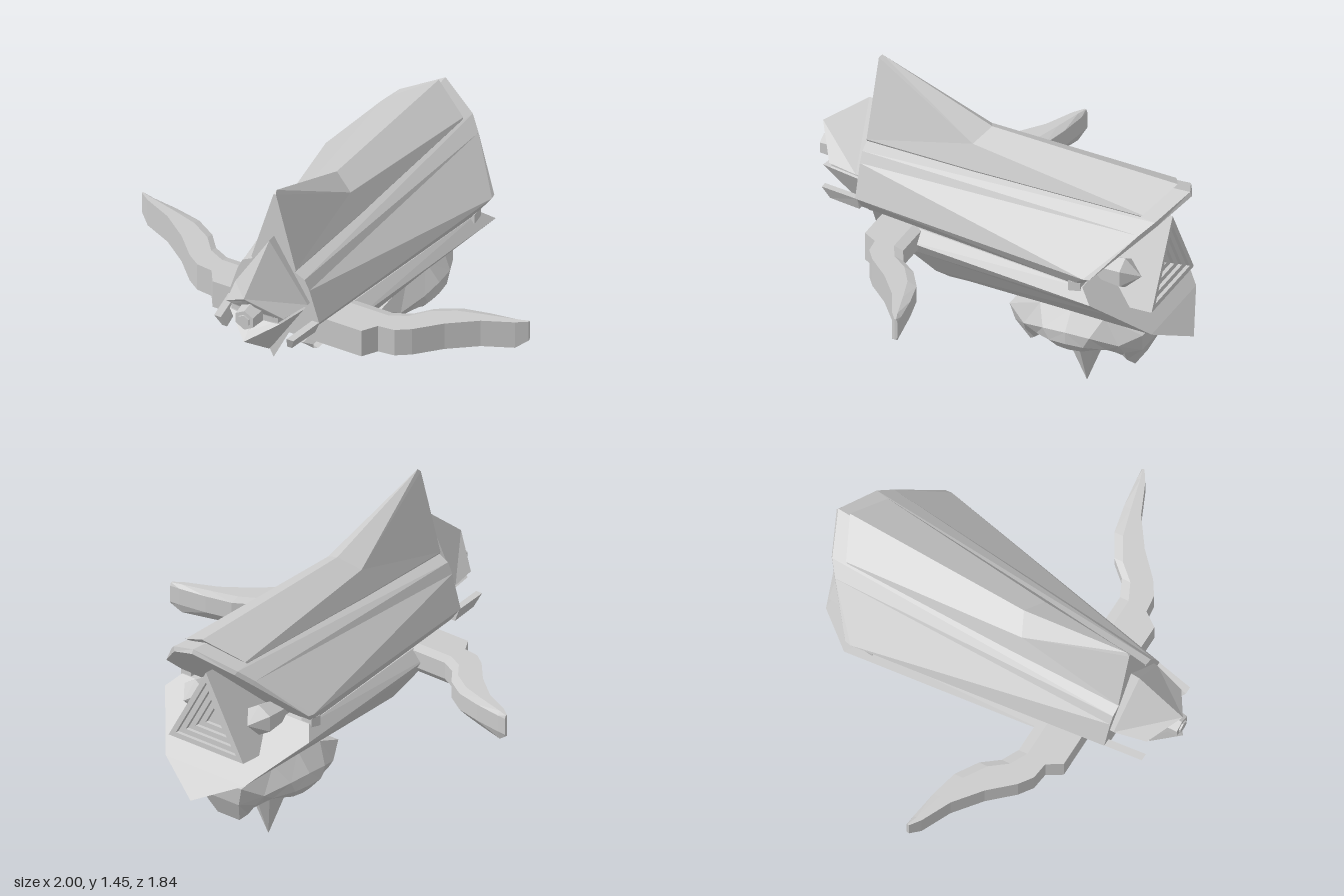
import * as THREE from 'three';

const material = new THREE.MeshStandardMaterial({ color: 0xcccccc, flatShading: true });

function addMesh(parent, name, geometry) {
  const mesh = new THREE.Mesh(geometry, material);
  mesh.name = name;
  parent.add(mesh);
  return mesh;
}

const distance = (a, b) => Math.hypot(a[0] - b[0], a[1] - b[1], a[2] - b[2]);

// Joins closed rings of [x, y, z] points, caps both ends, and turns faces outwards.
function loft(rings) {
  const n = rings[0].length;
  const tris = [];
  const cap = (r, flip) => {
    for (let i = 0; i < Math.floor((n - 1) / 2); i++) {
      const [a, b, c, d] = [r[i], r[i + 1], r[n - 2 - i], r[n - 1 - i]];
      for (const t of [[a, b, c], [a, c, d]]) tris.push(flip ? t.reverse() : t);
    }
  };
  for (let s = 0; s < rings.length - 1; s++) {
    for (let i = 0; i < n; i++) {
      const j = (i + 1) % n;
      const [a, b, c, d] = [rings[s][i], rings[s][j], rings[s + 1][j], rings[s + 1][i]];
      // Split along the shorter diagonal so both sides match
      if (distance(a, c) < distance(b, d)) tris.push([a, b, c], [a, c, d]);
      else tris.push([a, b, d], [b, c, d]);
    }
  }
  cap(rings[0], true);
  cap(rings[rings.length - 1], false);
  let volume = 0;
  const [A, B, C] = [new THREE.Vector3(), new THREE.Vector3(), new THREE.Vector3()];
  for (const t of tris) volume += A.fromArray(t[0]).dot(B.fromArray(t[1]).cross(C.fromArray(t[2])));
  if (volume < 0) tris.forEach((t) => t.reverse());
  const geometry = new THREE.BufferGeometry();
  geometry.setAttribute('position', new THREE.Float32BufferAttribute(tris.flat(2), 3));
  geometry.computeVertexNormals();
  return geometry;
}

// Completes a right-hand half profile, leaving points on the centre line single.
const mirror = (half) => [
  ...half,
  ...half.filter((p) => p[0] !== 0).reverse().map(([x, y, z]) => [-x, y, z]),
];

export function createModel() {
  const model = new THREE.Group();
  model.name = 'model';

  // Upper shell, cut off at a slant at the back with a bevelled rim
  const shellRing = (w, m, s, top, zAt) => mirror([
    [w - 0.05, 0.745], [w, 0.81], [m, top - 0.13], [s, top - 0.08], [0, top],
  ].map(([x, y]) => [x, y, zAt(y)]));
  const shellBack = (y) => -0.59 - (y - 0.81) * 1.07;
  addMesh(model, 'upperShell', loft([
    shellRing(0.235, 0.185, 0.16, 1.1, () => 0.65),
    shellRing(0.43, 0.25, 0.19, 1.12, (y) => shellBack(y) + 0.02),
    shellRing(0.425, 0.24, 0.18, 1.1, (y) => shellBack(y) - 0.01),
  ]));

  // Tall fin along the back
  const finRing = (ridge, crease, base, under) => mirror([under, base, crease, [0, ...ridge]]);
  addMesh(model, 'dorsalFin', loft([
    finRing([1.445, 0.625], [0.006, 1.43, 0.64], [0.115, 1.055, 0.65], [0.1, 1.03, 0.65]),
    finRing([1.21, 0.08], [0.1, 1.16, 0.13], [0.145, 1.05, 0.1], [0.13, 1.02, 0.1]),
    finRing([1.145, -0.84], [0.178, 1.056, -0.75], [0.18, 1.05, -0.74], [0.16, 1.02, -0.73]),
  ]));

  // Diamond head with a side groove and a sunken front
  const headRing = (top, bottom, side, zc, zs) => mirror([
    [0, top, zc], [side, 0.905, zs], [side * 0.82, 0.9, zs],
    [side * 0.82, 0.875, zs], [side * 0.88, 0.87, zs], [0, bottom, zc],
  ]);
  addMesh(model, 'head', loft([
    headRing(1.205, 0.61, 0.19, 0.5, 0.5),
    headRing(1.205, 0.61, 0.187, 0.69, 0.67),
    headRing(1.025, 0.79, 0.147, 0.92, 0.82),
    headRing(0.99, 0.825, 0.11, 0.885, 0.825),
    headRing(0.95, 0.86, 0.045, 0.85, 0.83),
  ]));

  // Hexagonal eye: an outer collar and an inner lens
  for (const [name, r, z] of [['eyeCollar', 0.06, 0.875], ['eyeLens', 0.036, 0.883]]) {
    const eye = addMesh(model, name, new THREE.CylinderGeometry(r * 0.85, r, 0.08, 6).rotateX(Math.PI / 2));
    eye.position.set(0, 0.905, z);
  }

  // Prongs beside the head
  for (const s of [-1, 1]) {
    const prongRing = (x, zTop, zLow) => [
      [s * x, 0.81, zTop], [s * (x - 0.035), 0.81, zTop],
      [s * (x - 0.05), 0.745, zLow], [s * (x - 0.025), 0.745, zLow],
    ];
    addMesh(model, 'headProng', loft([prongRing(0.235, 0.64, 0.64), prongRing(0.205, 0.83, 0.8)]));
  }

  // Throat wedge under the head
  addMesh(model, 'throatWedge', loft([
    [[0.1, 0.745, 0.65], [0, 0.54, 0.65], [-0.1, 0.745, 0.65]],
    [[0.1, 0.745, 0.5], [0, 0.62, 0.5], [-0.1, 0.745, 0.5]],
  ]));

  // Curved side arms, swept through [x, rear z, front z]
  const arm = [
    [0.385, 0.32, 0.53], [0.43, 0.32, 0.46], [0.51, 0.28, 0.45], [0.575, 0.2, 0.405],
    [0.68, 0.135, 0.295], [0.81, 0.105, 0.195], [0.95, 0.085, 0.13], [1, 0.08, 0.095],
  ];
  const path = [...arm.map(([x, r, f]) => [-x, r, f]).reverse(), ...arm];
  addMesh(model, 'sideArms', loft(path.map(([x, r, f]) => {
    const bevel = Math.min(0.045, (f - r) * 0.4);
    const low = Math.abs(x) === 1 ? 0.64 : 0.605;
    return [[x, low, f], [x, 0.745, f], [x, 0.745, r + bevel], [x, 0.73, r], [x, 0.65, r], [x, low, r + bevel]];
  })));

  // Keeled lower hull, echoing the shell upside down, with slanted ends
  const hullRing = (w, m, zAt) => mirror([
    [w - 0.05, 0.735], [w, 0.68], [w + (m - w) * 0.35, 0.61], [m, 0.478], [0, 0.365],
  ].map(([x, y]) => [x, y, zAt(y)]));
  addMesh(model, 'lowerHull', loft([
    hullRing(0.27, 0.15, (y) => 0.39 + (Math.min(y, 0.64) - 0.605) * 0.8),
    hullRing(0.43, 0.235, (y) => -0.92 + (Math.max(y, 0.385) - 0.385) * 1.07),
  ]));

  // Latches joining shell and hull at the rear corners
  for (const s of [-1, 1]) {
    const latch = addMesh(model, 'rearLatch', new THREE.BoxGeometry(0.06, 0.05, 0.06));
    latch.position.set(s * 0.36, 0.735, -0.51);
  }

  // Small V-shaped lip at the front of the keel
  const lipRing = (zTop, zLow) => [[0.05, 0.41, zTop], [0, 0.365, zLow], [-0.05, 0.41, zTop], [-0.03, 0.41, zTop], [0, 0.385, zLow], [0.03, 0.41, zTop]];
  addMesh(model, 'keelLip', loft([lipRing(0.33, 0.29), lipRing(0.1, 0.1)]));

  // Triangular exhaust with nested steps
  const triangle = (r) => [0, 1, 2].map((i) => {
    const a = Math.PI / 2 + (i * Math.PI * 2) / 3;
    return new THREE.Vector2(r * Math.cos(a), r * Math.sin(a));
  });
  for (let i = 0; i < 5; i++) {
    const shape = new THREE.Shape(triangle(0.257 - i * 0.05));
    if (i < 4) shape.holes.push(new THREE.Path(triangle(0.207 - i * 0.05)));
    const step = addMesh(model, 'exhaustStep', new THREE.ExtrudeGeometry(shape, { depth: 0.3 - i * 0.018, bevelEnabled: false }));
    step.position.set(0, 0.713, -0.815 + i * 0.018);
  }

  // Pointed pods either side of the exhaust
  const podProfile = [[0, -0.13], [0.05, -0.1], [0.075, 0.08], [0, 0.16]].map(([r, y]) => new THREE.Vector2(r, y));
  for (const s of [-1, 1]) {
    const pod = addMesh(model, 'exhaustPod', new THREE.LatheGeometry(podProfile, 6).rotateX(-Math.PI / 2));
    pod.position.set(s * 0.19, 0.74, -0.59);
  }

  // Arched foot housing, swept through [dz, outer y, inner dz, inner y]
  const halfArch = [[0.26, 0.19, 0.19, 0.25], [0.315, 0.3, 0.16, 0.275], [0.33, 0.395, 0.12, 0.28], [0.16, 0.465, 0.06, 0.28]];
  const arch = [...halfArch, [0, 0.48, 0, 0.28], ...halfArch.map(([a, b, c, d]) => [-a, b, -c, d]).reverse()];
  addMesh(model, 'footHousing', loft(arch.map(([oz, oy, iz, iy], i) => {
    const w = [0.09, 0.15, 0.19, 0.245, 0.255][Math.min(i, 8 - i)];
    const at = (x, t) => [x, oy + (iy - oy) * t, -0.4 + oz + (iz - oz) * t];
    return mirror([at(w * 0.72, 0), at(w, 0.45), at(w, 0.75), at(w * 0.85, 1)]);
  })));

  // Pointed foot spike
  const spike = addMesh(model, 'footSpike', new THREE.ConeGeometry(0.115, 0.29, 8).rotateX(Math.PI));
  spike.position.set(0, 0.145, -0.39);

  return model;
}
